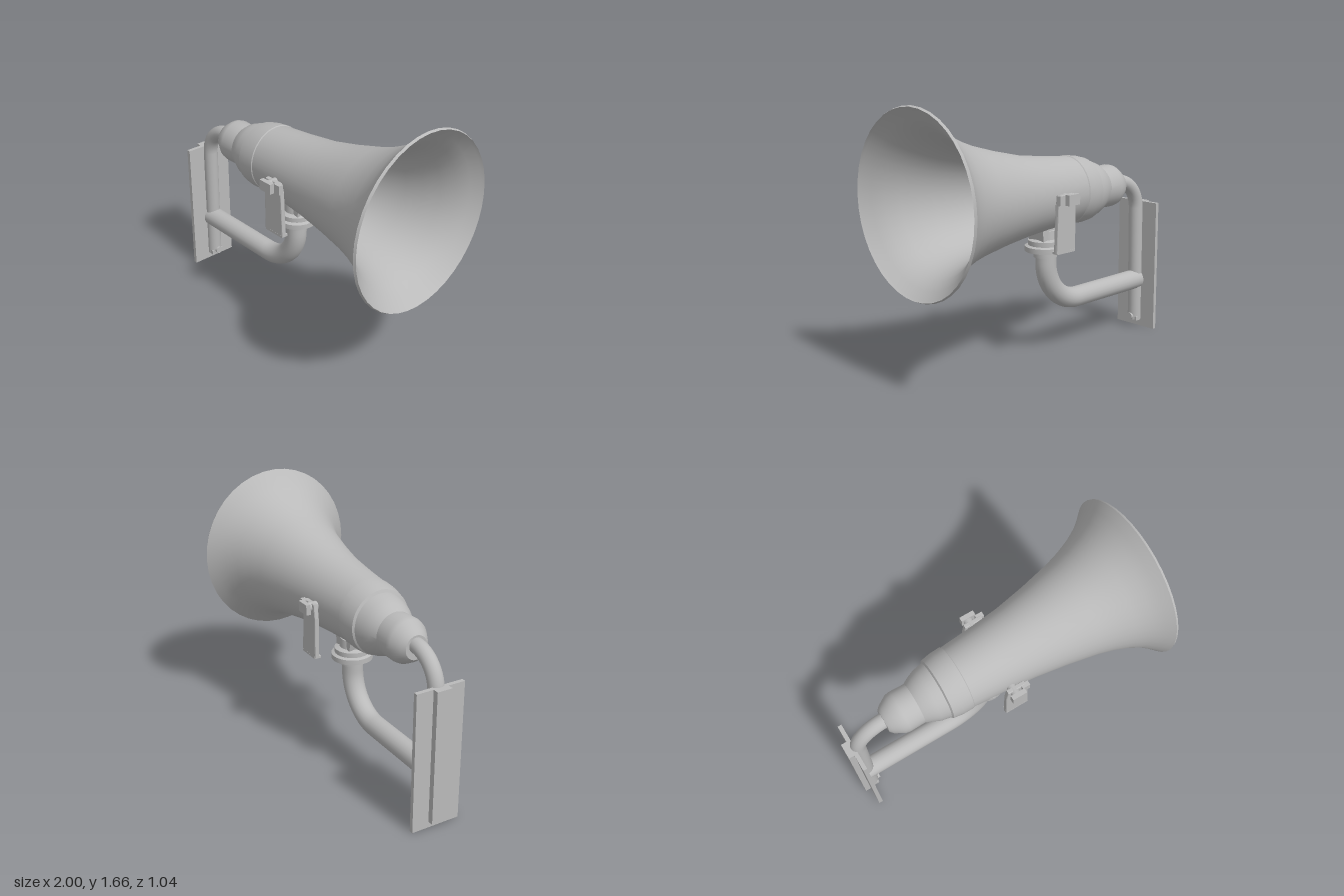
import * as THREE from 'three';
import { toCreasedNormals } from 'three/addons/utils/BufferGeometryUtils.js';

const metal = new THREE.MeshStandardMaterial({ color: 0xbababa });
metal.name = 'grey metal';

function add(parent, name, geometry, x = 0, y = 0, z = 0) {
  const mesh = new THREE.Mesh(geometry, metal);
  mesh.name = name;
  mesh.position.set(x, y, z);
  parent.add(mesh);
  return mesh;
}

// Skin rings [x, centre height, radius] along x; the horn is slightly narrower than tall
function loft(rings, sides = 40) {
  const pos = [], index = [];
  rings.forEach(([x, y, r], i) => {
    for (let j = 0; j < sides; j++) {
      const t = (j / sides) * Math.PI * 2;
      pos.push(x, y + Math.cos(t) * r, Math.sin(t) * r * 0.95);
      if (i === 0) continue;
      const k = (j + 1) % sides, a = (i - 1) * sides, b = i * sides;
      index.push(a + j, a + k, b + j, a + k, b + k, b + j);
    }
  });
  const g = new THREE.BufferGeometry();
  g.setAttribute('position', new THREE.Float32BufferAttribute(pos, 3));
  g.setIndex(index);
  return toCreasedNormals(g, 0.5);
}

// Pipe in the z = 0 plane: straight, rounded corner, straight
function elbow(start, corner, end, bend, radius) {
  const [s, c, e] = [start, corner, end].map(([x, y]) => new THREE.Vector3(x, y, 0));
  const toS = s.clone().sub(c).normalize(), toE = e.clone().sub(c).normalize();
  const along = (dir, d) => c.clone().addScaledVector(dir, d);
  const path = new THREE.CurvePath();
  path.add(new THREE.LineCurve3(s, along(toS, bend)));
  path.add(new THREE.CubicBezierCurve3(along(toS, bend), along(toS, bend * 0.45),
    along(toE, bend * 0.45), along(toE, bend)));
  path.add(new THREE.LineCurve3(along(toE, bend), e));
  return new THREE.TubeGeometry(path, 48, radius, 20);
}

// Extrude an outline in x and y, centred on z = 0
function plate(points, depth, bevel = 0) {
  const shape = new THREE.Shape(points.map(([x, y]) => new THREE.Vector2(x, y)));
  return new THREE.ExtrudeGeometry(shape, {
    depth, bevelEnabled: bevel > 0, bevelSize: bevel, bevelThickness: bevel, bevelSegments: 2,
  }).translate(0, 0, -depth / 2);
}

export function createModel() {
  const model = new THREE.Group();
  model.name = 'hornLoudspeaker';

  // Driver housing with stepped collars
  const housing = [
    [-0.72, 1.03, 0], [-0.72, 1.03, 0.075], [-0.7, 1.03, 0.097], [-0.64, 1.034, 0.134],
    [-0.61, 1.035, 0.14], [-0.51, 1.033, 0.137], [-0.47, 1.042, 0.158], [-0.42, 1.04, 0.18],
    [-0.36, 1.04, 0.192], [-0.352, 1.045, 0.205], [-0.29, 1.05, 0.216], [-0.22, 1.057, 0.217],
    [-0.215, 1.057, 0.212],
  ];
  // Flared bell; its inner wall is the same curve set inward
  const bell = [
    [0, 1.061, 0.229], [0.2, 1.065, 0.25], [0.4, 1.075, 0.285], [0.6, 1.086, 0.329],
    [0.7, 1.093, 0.36], [0.8, 1.101, 0.402], [0.88, 1.107, 0.448], [0.94, 1.111, 0.499],
    [0.985, 1.115, 0.545],
  ];
  const innerWall = bell.map(([x, y, r]) => [x, y, r - 0.018]).reverse();
  const throat = [[-0.2, 1.056, 0.19], [-0.34, 1.05, 0.178], [-0.42, 1.042, 0.143],
    [-0.56, 1.032, 0.118], [-0.56, 1.032, 0]];
  add(model, 'horn', loft([...housing, ...bell, [1, 1.115, 0.538], ...innerWall, ...throat]));

  // Wall mount: plate with a rail behind it
  add(model, 'wallPlate', new THREE.BoxGeometry(0.026, 0.89, 0.32), -0.95, 0.445);
  add(model, 'wallRail', new THREE.BoxGeometry(0.05, 0.85, 0.1), -0.975, 0.465);

  // Cable conduit from the rail up into the back of the driver
  add(model, 'conduit', elbow([-0.93, 0.05], [-0.915, 1.045], [-0.7, 1.045], 0.2, 0.048));
  const foot = add(model, 'conduitFoot', new THREE.CylinderGeometry(0.024, 0.024, 0.06, 12), -0.9, 0.072);
  foot.rotation.z = Math.PI / 2;
  add(model, 'conduitEnd', new THREE.BoxGeometry(0.05, 0.03, 0.09), -0.918, 0.058);

  // Support arm
  add(model, 'supportArm', elbow([-0.94, 0.335], [-0.035, 0.335], [-0.035, 0.7], 0.28, 0.067));

  // Swivel flange on top of the arm
  const profile = [[0, 0.655], [0.075, 0.655], [0.075, 0.685], [0.13, 0.695], [0.13, 0.727],
    [0.11, 0.735], [0.11, 0.765], [0.08, 0.775], [0.075, 0.83], [0, 0.85]];
  const flange = new THREE.LatheGeometry(profile.map(([r, y]) => new THREE.Vector2(r, y)), 28);
  add(model, 'swivelFlange', toCreasedNormals(flange, 0.5), -0.03);

  // Saddle between flange and horn, with its small latch
  add(model, 'saddle', plate([[-0.1, 0.765], [0.05, 0.765], [0.06, 0.86], [-0.1, 0.88], [-0.12, 0.84]], 0.13));
  const latch = new THREE.CatmullRomCurve3([[-0.185, 0.85], [-0.15, 0.825], [-0.11, 0.82], [-0.08, 0.86]]
    .map(([x, y]) => new THREE.Vector3(x, y, 0)));
  add(model, 'latch', new THREE.TubeGeometry(latch, 16, 0.012, 8));

  // Hanging side brackets with pivot bolts
  for (const side of [1, -1]) {
    const bracket = new THREE.Group();
    bracket.name = side > 0 ? 'leftBracket' : 'rightBracket';
    add(bracket, 'bracketPlate', plate([[-0.02, 0.745], [0.128, 0.745], [0.115, 1.03],
      [0.1, 1.085], [-0.01, 1.085], [-0.022, 1.0]], 0.018, 0.006), 0, 0, side * 0.245);
    add(bracket, 'bracketLip', new THREE.BoxGeometry(0.15, 0.014, 0.045), 0.055, 0.742, side * 0.238);
    add(bracket, 'boltHead', new THREE.BoxGeometry(0.095, 0.065, 0.03), 0.035, 1.063, side * 0.293);
    const bolt = add(bracket, 'bolt', new THREE.CylinderGeometry(0.03, 0.03, 0.1, 16), 0.03, 1.063, side * 0.24);
    bolt.rotation.x = Math.PI / 2;
    add(bracket, 'boltTab', new THREE.BoxGeometry(0.05, 0.06, 0.03), 0.1, 1.06, side * 0.26);
    model.add(bracket);
  }

  return model;
}
